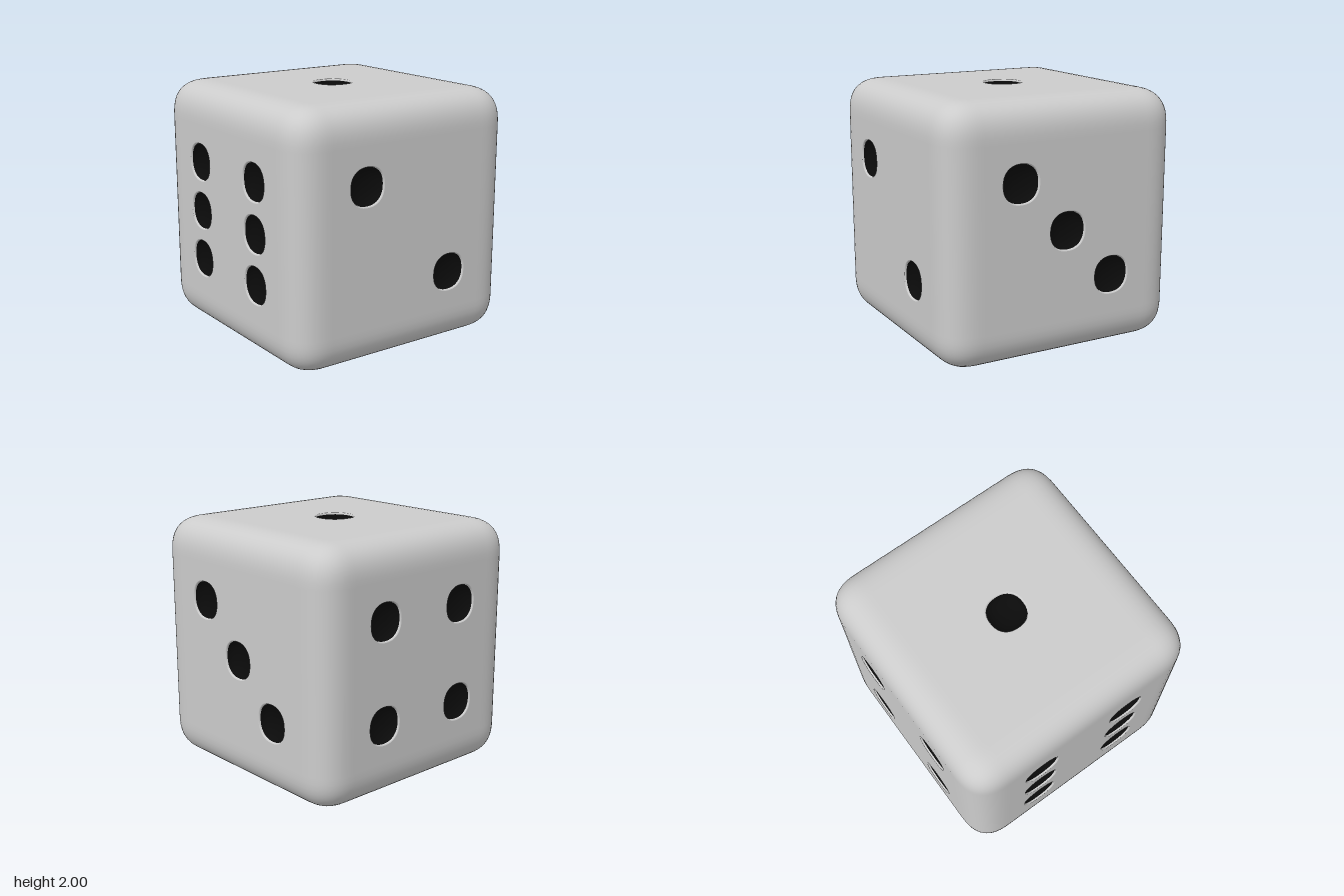
import * as THREE from 'three';
import { mergeVertices } from 'three/addons/utils/BufferGeometryUtils.js';

const FLAT = 0.7;   // half width of the flat middle of each side
const EDGE = 0.3;   // reach of the rounded edges
const POWER = 2.65; // roundness of the edges
const LIP = 0.156;  // radius of a pip opening

const grey = new THREE.MeshStandardMaterial({ color: 0xcccccc });
const black = new THREE.MeshStandardMaterial({ color: 0x0a0a0a });

// Slightly squarish circle used for every pip
const squircle = (a) => (Math.abs(Math.cos(a)) ** 2.3 + Math.abs(Math.sin(a)) ** 2.3) ** (-1 / 2.3);

// Rounded edges and corners: a cube shell without its flat middles
function createEdgesGeometry() {
  const geo = new THREE.BoxGeometry(2, 2, 2, 40, 40, 40);
  const pos = geo.attributes.position, nor = geo.attributes.normal, old = geo.index.array;
  const index = [];
  for (let i = 0; i < old.length; i += 3) {
    const tri = [old[i], old[i + 1], old[i + 2]];
    const inFlat = ['getX', 'getY', 'getZ'].filter(
      (get) => Math.abs(tri.reduce((s, v) => s + pos[get](v), 0) / 3) < FLAT).length;
    if (inFlat < 2) index.push(...tri);
  }
  geo.setIndex(index);
  for (let i = 0; i < pos.count; i++) {
    const p = [pos.getX(i), pos.getY(i), pos.getZ(i)];
    const core = p.map((v) => THREE.MathUtils.clamp(v, -FLAT, FLAT));
    const d = p.map((v, k) => (Math.abs(v - core[k]) < 1e-5 ? 0 : v - core[k]));
    const len = d.reduce((s, v) => s + Math.abs(v) ** POWER, 0) ** (1 / POWER);
    pos.setXYZ(i, ...core.map((c, k) => c + (EDGE * d[k]) / len));
    const n = new THREE.Vector3(...d.map((v) => Math.sign(v) * Math.abs(v / len) ** (POWER - 1))).normalize();
    nor.setXYZ(i, n.x, n.y, n.z);
  }
  return geo;
}

// Flat middle of a side, with one hole per pip
function createPanelGeometry(pips) {
  const shape = new THREE.Shape([[-1, -1], [1, -1], [1, 1], [-1, 1]].map(
    ([x, y]) => new THREE.Vector2(x * FLAT, y * FLAT)));
  for (const [x, y] of pips) {
    const ring = [];
    for (let i = 0; i < 48; i++) {
      const a = (i / 48) * Math.PI * 2, r = LIP * squircle(a);
      ring.push(new THREE.Vector2(x + r * Math.cos(a), y + r * Math.sin(a)));
    }
    shape.holes.push(new THREE.Path(ring));
  }
  return new THREE.ShapeGeometry(shape);
}

// Sunken surface turned from a rim-to-centre profile, then made squarish
function createTurnedGeometry(profile) {
  let geo = new THREE.LatheGeometry(profile.map(([r, h]) => new THREE.Vector2(r, h)), 48);
  geo.rotateX(Math.PI / 2);
  const pos = geo.attributes.position;
  for (let i = 0; i < pos.count; i++) {
    const x = pos.getX(i), y = pos.getY(i), f = squircle(Math.atan2(y, x));
    pos.setXY(i, x * f, y * f);
  }
  geo.deleteAttribute('uv');
  geo.deleteAttribute('normal');
  geo = mergeVertices(geo, 1e-5);
  geo.computeVertexNormals();
  return geo;
}

export function createModel() {
  const model = new THREE.Group();
  model.name = 'die';

  const edges = new THREE.Mesh(createEdgesGeometry(), grey);
  edges.name = 'roundedEdges';
  edges.position.y = 1;
  model.add(edges);

  // Pip parts: a soft lip and a round dish
  const lipGeo = createTurnedGeometry([[LIP, 0], [0.151, -0.002], [0.148, -0.006], [0.146, -0.014]]);
  const dish = [];
  for (let i = 0; i <= 8; i++) {
    const a = (i / 8) * Math.PI / 2;
    dish.push([0.146 * Math.cos(a), -0.014 - 0.08 * Math.sin(a)]);
  }
  const dishGeo = createTurnedGeometry(dish);

  // Pip layouts, seen facing each side
  const s = 0.4;
  const two = [[-s, s], [s, -s]];
  const four = [...two, [s, s], [-s, -s]];
  const sides = [
    ['front', 0, 0, [...four, [-s, 0], [s, 0]]],
    ['back', 0, Math.PI, [...two, [0, 0]]],
    ['left', 0, Math.PI / 2, two],
    ['right', 0, -Math.PI / 2, four],
    ['top', -Math.PI / 2, 0, [[0, 0]]],
    ['bottom', Math.PI / 2, 0, [...four, [0, 0]]],
  ];

  for (const [name, rx, ry, pips] of sides) {
    const side = new THREE.Group();
    side.name = name + 'Side';
    side.rotation.set(rx, ry, 0);
    side.position.set(0, 0, 1).applyEuler(side.rotation);
    side.position.y += 1;

    const panel = new THREE.Mesh(createPanelGeometry(pips), grey);
    panel.name = name + 'Panel';
    side.add(panel);

    for (const [x, y] of pips) {
      const pip = new THREE.Group();
      pip.name = 'pip';
      const lip = new THREE.Mesh(lipGeo, grey);
      lip.name = 'pipLip';
      const bowl = new THREE.Mesh(dishGeo, black);
      bowl.name = 'pipDish';
      pip.add(lip, bowl);
      pip.position.set(x, y, 0);
      side.add(pip);
    }
    model.add(side);
  }
  return model;
}
